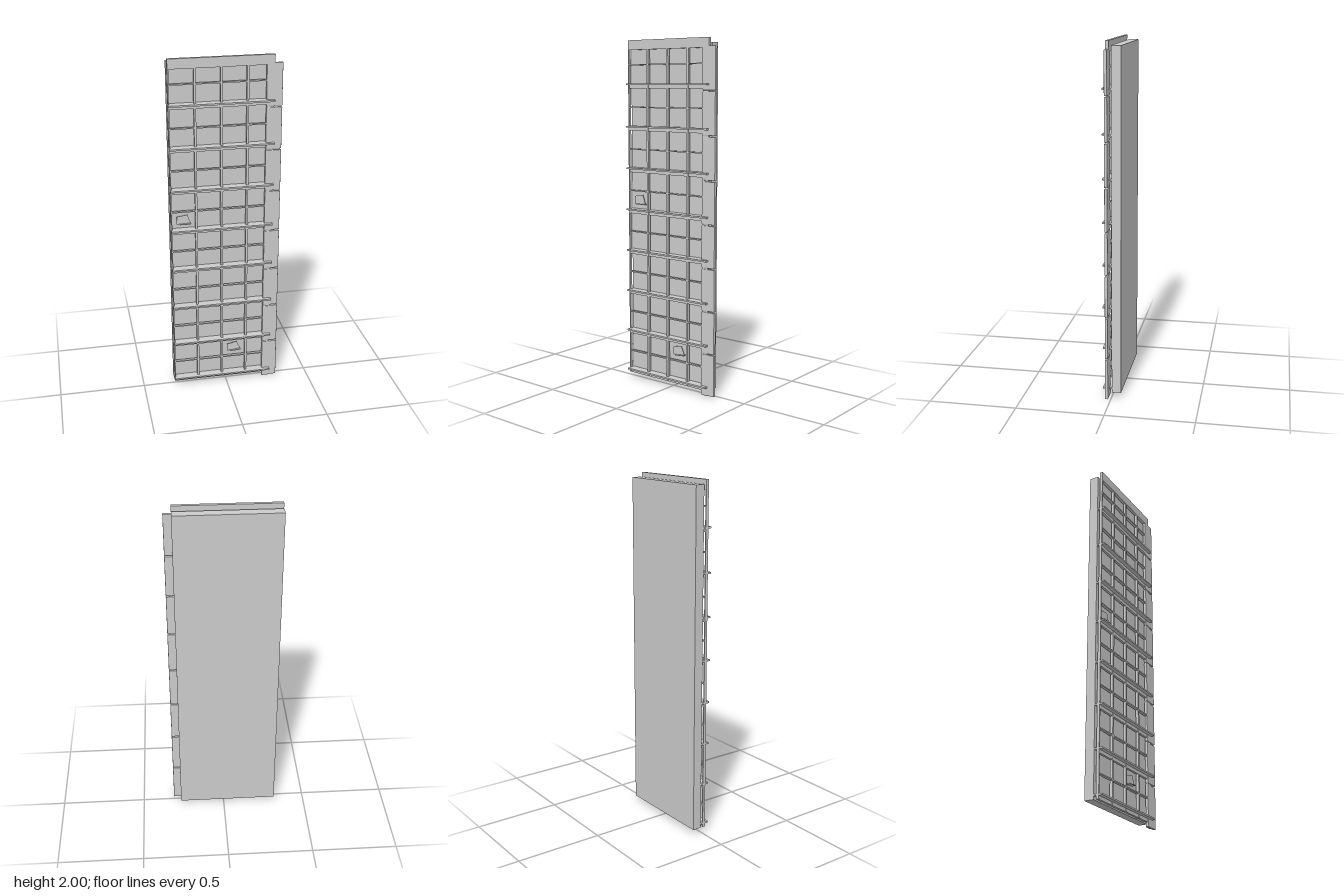
import * as THREE from 'three';
import { RoundedBoxGeometry } from 'three/addons/geometries/RoundedBoxGeometry.js';

const material = new THREE.MeshStandardMaterial({ color: 0xcccccc, flatShading: true });

// Box given by its min and max on each axis
function box(group, name, [x0, x1], [y0, y1], [z0, z1], radius = 0) {
  const size = [x1 - x0, y1 - y0, z1 - z0];
  const geometry = radius
    ? new RoundedBoxGeometry(...size, 1, radius)
    : new THREE.BoxGeometry(...size);
  const mesh = new THREE.Mesh(geometry, material);
  mesh.name = name;
  mesh.position.set((x0 + x1) / 2, (y0 + y1) / 2, (z0 + z1) / 2);
  group.add(mesh);
  return mesh;
}

// Small skewed plate with a thin shelf beneath it
function windowFlap(x, y, mirror) {
  const flap = new THREE.Group();
  flap.name = 'windowFlap';
  const outline = new THREE.Shape([
    [-0.038, -0.026], [0.042, -0.022], [0.024, 0.028], [-0.036, 0.02],
  ].map(([px, py]) => new THREE.Vector2(px, py)));
  const plate = new THREE.Mesh(
    new THREE.ExtrudeGeometry(outline, { depth: 0.003, bevelEnabled: false }), material);
  plate.name = 'flapPlate';
  plate.position.z = 0.012;
  flap.add(plate);
  box(flap, 'flapShelf', [-0.02, 0.042], [-0.028, -0.024], [0, 0.025]);
  flap.position.set(x, y, 0);
  if (mirror) flap.rotation.z = 0.08;
  return flap;
}

export function createModel() {
  const model = new THREE.Group();
  model.name = 'facadePanel';
  const left = -0.315, right = 0.267, frame = [0.014, 0.03];
  const floors = 8, pitch = 0.2425, firstLedge = 0.052;

  // Solid wall behind the window grid, and fascia along the top
  box(model, 'wallSlab', [left, right], [0.028, 1.975], [-0.053, 0]);
  box(model, 'topFascia', [left, right], [1.945, 2], [0.013, 0.031]);

  // Upright mullions
  box(model, 'edgeMullion', [left, left + 0.007], [0.03, 1.95], frame);
  for (const x of [-0.17, -0.025, 0.12]) {
    box(model, 'mullion', [x - 0.006, x + 0.006], [0.03, 1.95], frame);
  }

  // Spandrel, ledge, middle transom and corner column piece of each floor
  for (let i = 0; i < floors; i++) {
    const y = firstLedge + i * pitch;
    box(model, 'spandrel', [left, 0.225], [y - 0.024, y], [0.014, 0.028]);
    box(model, 'ledge', [left, right], [y - 0.005, y + 0.004], [0, 0.051]);
    box(model, 'transom', [left, 0.225], [y + 0.108, y + 0.115], frame);
    const base = 0.003 + i * 0.2448;
    box(model, 'columnPiece', [0.222, 0.311], [base, base + 0.238], [0.014, 0.031], 0.003);
  }
  // Strip joining the column pieces
  box(model, 'columnCore', [0.225, 0.264], [0, 1.95], [0.016, 0.028]);

  model.add(windowFlap(-0.243, 1.081, false), windowFlap(0.046, 0.223, true));
  return model;
}
